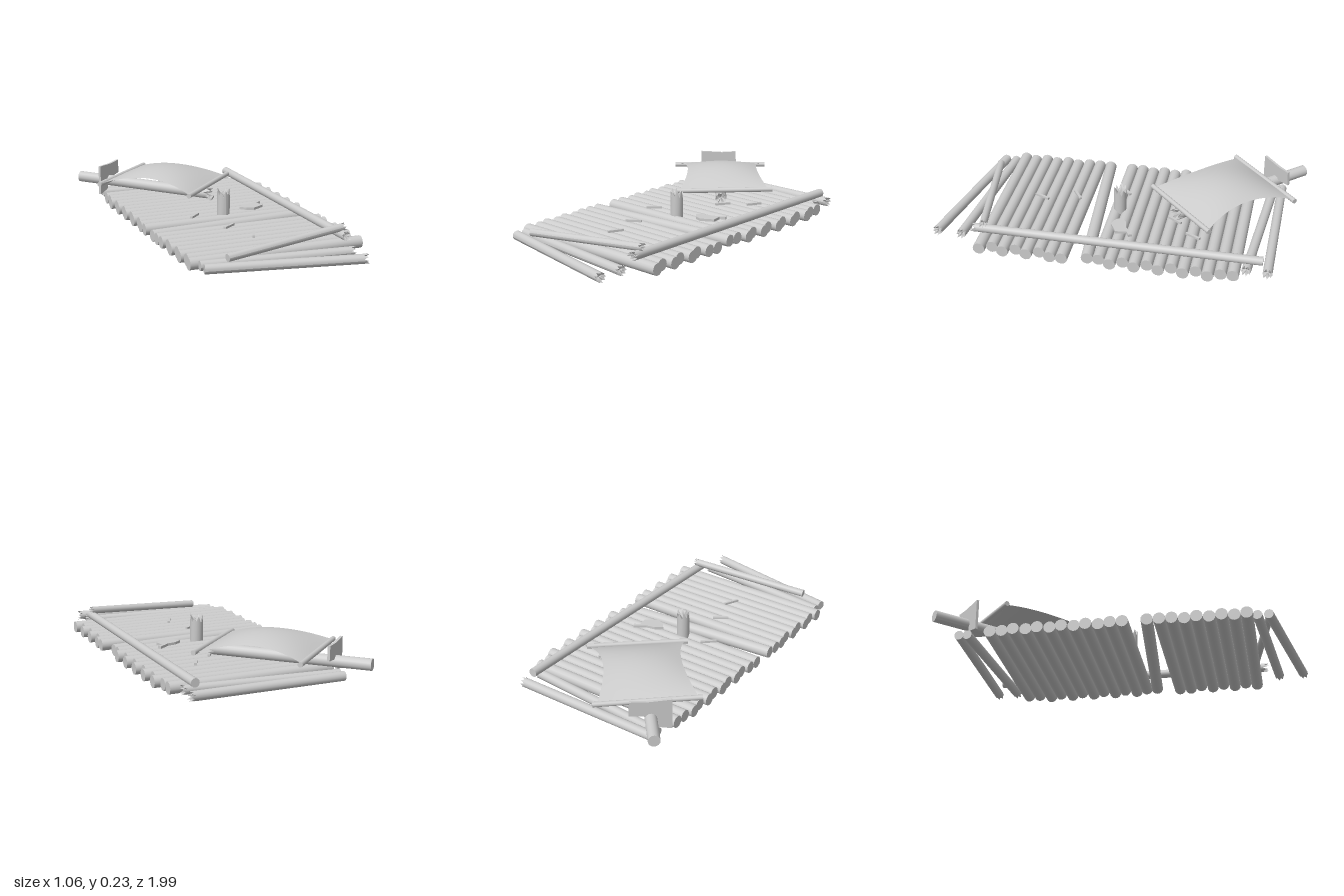
import * as THREE from 'three';

const grey = new THREE.MeshStandardMaterial({ color: 0xcccccc });
const cloth = new THREE.MeshStandardMaterial({ color: 0xcccccc, side: THREE.DoubleSide });
const flat = new THREE.MeshStandardMaterial({ color: 0xcccccc, flatShading: true });

// Round log from a to b; a positive jag splinters the b end into teeth of that depth
function log(name, a, b, r, jag = 0) {
  const start = new THREE.Vector3(...a), end = new THREE.Vector3(...b);
  const dir = end.clone().sub(start), len = dir.length();
  const geo = new THREE.CylinderGeometry(r, r, len, 16);
  if (jag) {
    const p = geo.attributes.position;
    for (let i = 0; i < p.count; i++) {
      if (p.getY(i) < 0) continue;
      const x = p.getX(i), z = p.getZ(i);
      const k = Math.round(Math.atan2(x, z) / (Math.PI / 8)) + 16;
      const centre = Math.hypot(x, z) < r * 0.5;
      const drop = centre ? 1 : k % 2 ? 0.85 + 0.15 * Math.sin(k) : 0.15 + 0.15 * Math.cos(k * 2.3);
      p.setY(i, len / 2 - jag * drop);
    }
    geo.computeVertexNormals();
  }
  const mesh = new THREE.Mesh(geo, grey);
  mesh.name = name;
  mesh.position.copy(start).add(end).multiplyScalar(0.5);
  mesh.quaternion.setFromUnitVectors(new THREE.Vector3(0, 1, 0), dir.normalize());
  return mesh;
}

// Flat broken plank cut from an outline, centred on its thickness
function plank(name, points, depth) {
  const shape = new THREE.Shape(points.map(([x, y]) => new THREE.Vector2(x, y)));
  const geo = new THREE.ExtrudeGeometry(shape, { depth, bevelEnabled: false });
  geo.translate(0, 0, -depth / 2);
  const mesh = new THREE.Mesh(geo, flat);
  mesh.name = name;
  return mesh;
}

// Billowed cloth: corners on the two spars, sides drawn inward, middle raised
function sail() {
  const n = 20, pos = [], index = [];
  for (let j = 0; j <= n; j++) {
    for (let i = 0; i <= n; i++) {
      const u = (i / n) * 2 - 1, v = (j / n) * 2 - 1, arch = 1 - v * v;
      const s = u * (1 - 0.2 * arch);
      pos.push(
        -0.11 + 0.19 * s + 0.195 * v,
        0.15 - 0.005 * v + arch * (0.052 + 0.03 * (1 - u * u)),
        -0.548 - 0.175 * s + 0.208 * v
      );
      if (i < n && j < n) {
        const a = j * (n + 1) + i, b = a + n + 1;
        index.push(a, b, a + 1, b, b + 1, a + 1);
      }
    }
  }
  const geo = new THREE.BufferGeometry();
  geo.setAttribute('position', new THREE.Float32BufferAttribute(pos, 3));
  geo.setIndex(index);
  geo.computeVertexNormals();
  const mesh = new THREE.Mesh(geo, cloth);
  mesh.name = 'sail';
  return mesh;
}

export function createModel() {
  const model = new THREE.Group();
  model.name = 'brokenRaft';

  // Deck logs with staggered ends, one of them knocked askew
  const deck = new THREE.Group();
  deck.name = 'deck';
  const R = 0.033, Y = 0.034;
  for (let i = 0; i < 22; i++) {
    const z = 0.697 - i * 0.0657;
    if (i === 8) {
      deck.add(log('skewedLog', [-0.45, Y, 0.172], [0.5, Y, 0.102], R));
    } else if (i !== 9) {
      const long = i < 8 ? i % 2 === 0 || i === 7 : i % 2 === 1 && i < 21;
      deck.add(log('deckLog', [long ? -0.45 : -0.435, Y, z], [long ? 0.53 : 0.5, Y, z], R));
    }
  }
  deck.add(log('deckLog', [-0.45, Y, 0.04], [0.5, Y, 0.04], R));
  model.add(deck);

  // Snapped logs drifting off both ends
  const loose = new THREE.Group();
  loose.name = 'looseLogs';
  loose.add(
    log('looseLogFront', [-0.41, 0.035, 0.75], [0.43, 0.035, 0.835], 0.026, 0.035),
    log('looseLogFront', [-0.41, 0.035, 0.81], [0.425, 0.035, 0.975], 0.026, 0.035),
    log('looseLogBack', [-0.41, 0.035, -0.86], [0.465, 0.035, -0.86], 0.026, 0.035),
    log('looseLogBack', [-0.41, 0.035, -0.815], [0.46, 0.035, -0.745], 0.026, 0.035)
  );
  model.add(loose);

  // Binding rails on top of the deck
  model.add(
    log('sideRail', [0.415, 0.091, -0.83], [0.415, 0.091, 0.775], 0.024, 0.04),
    log('frontRail', [-0.285, 0.078, 0.81], [0.44, 0.128, 0.695], 0.021, 0.03)
  );

  // Mast stump and the fallen mast
  model.add(
    log('mastStump', [0.035, 0.05, 0.015], [0.035, 0.218, 0.015], 0.036, 0.055),
    log('fallenMast', [-0.507, 0.112, -0.973], [0.1, 0.1, -0.295], 0.032, 0.05)
  );

  // Sail between its two spars
  model.add(
    sail(),
    log('upperSpar', [-0.512, 0.153, -0.57], [-0.1, 0.153, -0.95], 0.014),
    log('lowerSpar', [-0.112, 0.143, -0.145], [0.292, 0.152, -0.525], 0.014)
  );

  // Broken board across the mast head
  const board = plank('mastBoard', [
    [-0.11, 0.045], [-0.03, 0.06], [-0.02, 0.12], [0.11, 0.135],
    [0.105, 0.215], [0.02, 0.21], [-0.11, 0.217]
  ], 0.014);
  board.position.set(-0.372, 0, -0.825);
  board.rotation.y = 0.74;
  model.add(board);

  // Wood debris lying on the deck
  const debris = new THREE.Group();
  debris.name = 'debris';
  const slivers = [
    [-0.14, 0.015, 0.75], [-0.045, 0.28, 0.6], [0.012, 0.475, 1.15],
    [0.1, -0.31, 1.0], [0.235, -0.43, 1.1]
  ];
  for (const [x, z, turn] of slivers) {
    const s = new THREE.Mesh(new THREE.BoxGeometry(0.09, 0.012, 0.014), flat);
    s.name = 'sliver';
    s.position.set(x, 0.073, z);
    s.rotation.y = turn;
    debris.add(s);
  }
  const shard = plank('brokenPlank', [
    [0.15, 0.02], [0.19, 0.05], [0.24, 0.06], [0.3, 0.105],
    [0.31, 0.085], [0.28, 0.07], [0.29, 0.01], [0.22, -0.03], [0.18, -0.015]
  ], 0.014);
  shard.rotation.x = -Math.PI / 2;
  shard.position.y = 0.077;
  debris.add(shard);
  model.add(debris);

  return model;
}
